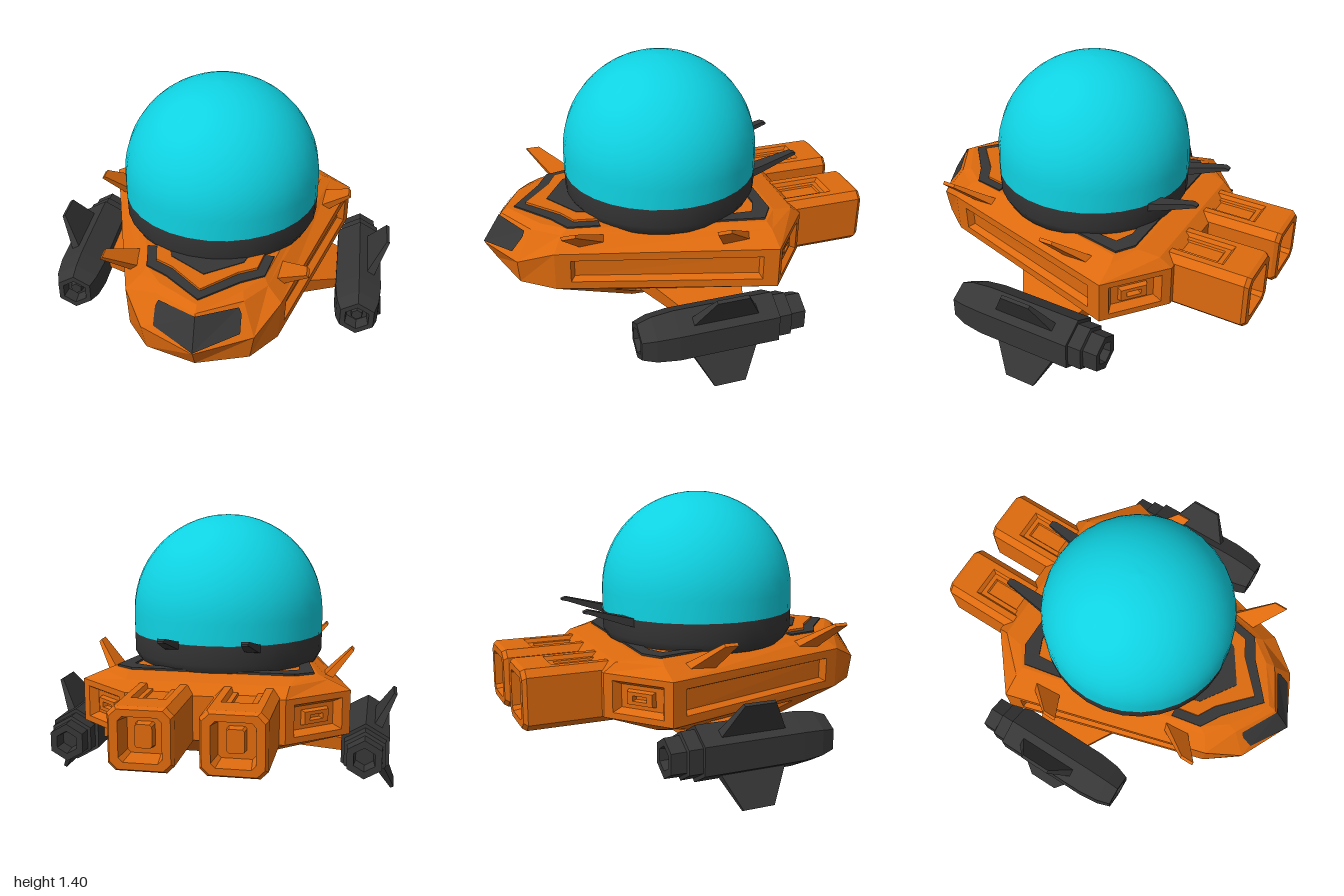
import * as THREE from 'three';

const mat = (color, flat = true) =>
  new THREE.MeshStandardMaterial({ color, flatShading: flat, side: THREE.DoubleSide });
const ORANGE = mat(0xdd6a0e), DARK = mat(0x363636), BASE = mat(0x363636, false), GLASS = mat(0x0fd2e2, false);

const V = (x, y, z) => new THREE.Vector3(x, y, z);
const bilinear = ([a, b, c, d], u, v) =>
  a.clone().lerp(b, u).lerp(d.clone().lerp(c, u), v);

// Flat-shaded geometry from a list of quads and triangles
function facets(faces) {
  const pos = [];
  for (const f of faces)
    for (let i = 1; i < f.length - 1; i++)
      for (const p of [f[0], f[i], f[i + 1]]) pos.push(p.x, p.y, p.z);
  const g = new THREE.BufferGeometry();
  g.setAttribute('position', new THREE.Float32BufferAttribute(pos, 3));
  g.computeVertexNormals();
  return g;
}

// Replace a quad by nested frames; each step is [margin u, margin v, depth]
function recess(quad, steps) {
  const n = quad[2].clone().sub(quad[0]).cross(quad[3].clone().sub(quad[1])).normalize();
  const out = [];
  let prev = quad;
  for (const [u, v, depth] of steps) {
    const next = [[u, v], [1 - u, v], [1 - u, 1 - v], [u, 1 - v]]
      .map(([s, t]) => bilinear(quad, s, t).addScaledVector(n, -depth));
    for (let i = 0; i < 4; i++) {
      const k = (i + 1) % 4;
      out.push([prev[i], prev[k], next[k], next[i]]);
    }
    prev = next;
  }
  out.push(prev);
  return out;
}

// Skin closed rings, with capped ends; recesses are keyed 'ring,edge'
function loft(rings, recesses = {}) {
  const faces = [[...rings[0]].reverse(), rings[rings.length - 1]];
  for (let i = 0; i < rings.length - 1; i++)
    rings[i].forEach((a, j) => {
      const k = (j + 1) % rings[i].length;
      const quad = [a, rings[i][k], rings[i + 1][k], rings[i + 1][j]];
      const steps = recesses[`${i},${j}`];
      faces.push(...(steps ? recess(quad, steps) : [quad]));
    });
  return facets(faces);
}

// Complete a half outline across x = 0
const mirrorRing = half =>
  [...half, ...half.filter(p => p[0] > 0).reverse().map(([x, ...r]) => [-x, ...r])];

// Tapered blade between two sections [x, y, z back, z front, thickness]
function blade(root, tip) {
  const d = new THREE.Vector2(tip[0] - root[0], tip[1] - root[1]).normalize();
  return loft([root, tip].map(([x, y, z0, z1, t]) =>
    [[1, z1], [-1, z1], [-1, z0], [1, z0]].map(([s, z]) =>
      V(x - d.y * s * t / 2, y + d.x * s * t / 2, z))));
}

// Thin symmetrical deck plate from a half outline in x, z
function plate(half, y, height) {
  const shape = new THREE.Shape(mirrorRing(half).map(([x, z]) => new THREE.Vector2(x, -z)));
  return new THREE.ExtrudeGeometry(shape, { depth: height, bevelEnabled: false })
    .rotateX(-Math.PI / 2).translate(0, y, 0);
}

const lathe = (pts, seg) =>
  new THREE.LatheGeometry(pts.map(([r, y]) => new THREE.Vector2(r, y)), seg);

export function createModel() {
  const model = new THREE.Group();
  const add = (name, geo, material, parent = model) => {
    const m = new THREE.Mesh(geo, material);
    m.name = name;
    parent.add(m);
    return m;
  };

  // Hull: plan outlines from keel to deck
  const hullRings = [
    [[0, .2, .45], [.18, .2, .42], [.3, .2, .28], [.3, .2, -.08], [.2, .2, -.28], [0, .2, -.28]],
    [[0, .37, .93], [.25, .37, .85], [.37, .37, .69], [.68, .37, -.38], [.39, .37, -.62], [0, .37, -.62]],
    [[0, .48, .99], [.27, .5, .86], [.38, .58, .69], [.68, .59, -.38], [.39, .59, -.62], [0, .59, -.62]],
    [[0, .64, .89], [.21, .64, .77], [.31, .64, .64], [.57, .64, -.38], [.4, .64, -.56], [0, .64, -.56]],
    [[0, .66, .85], [.2, .66, .72], [.29, .66, .6], [.52, .66, -.37], [.42, .66, -.45], [0, .66, -.45]],
  ].map(half => mirrorRing(half).map(p => V(...p)));
  const sidePanel = [[.07, .2, 0], [.085, .27, .035]];
  const vent = [[.13, .14, 0], [.2, .24, .04], [.3, .33, .04], [.32, .36, .015], [.4, .44, .015], [.42, .46, .04]];
  const bellyPanel = [[.2, .22, 0], [.23, .27, .025]];
  add('hull', loft(hullRings, {
    '1,2': sidePanel, '1,7': sidePanel, '1,3': vent, '1,6': vent, '0,2': bellyPanel, '0,7': bellyPanel,
  }), ORANGE);

  // Wraparound nose window, one pane on each side of the ridge
  const nose = [hullRings[2][0], hullRings[2][1], hullRings[3][1], hullRings[3][0]];
  const pane = [[0, .03], [.8, .2], [.9, .7], [.88, .88], [0, .93]]
    .map(([u, v]) => bilinear(nose, u, v).add(V(0, .003, .006)));
  add('noseWindow', facets([pane, pane.map(p => V(-p.x, p.y, p.z)).reverse()]), DARK);

  // Deck trim
  add('deckChevron', plate([[0, .82], [.18, .665], [.29, .6], [.32, .44], [.27, .44], [.25, .56], [.16, .61], [0, .76]], .65, .018), DARK);
  add('frontDeckPanel', plate([[0, .76], [.16, .61], [.25, .56], [.28, .4], [0, .4]], .65, .03), ORANGE);
  add('deckInlay', plate([[0, .65], [.18, .53], [.22, .4], [0, .4]], .65, .034), DARK);
  add('rearDeckTrim', plate([[0, -.43], [.41, -.43], [.5, -.37], [.45, -.12], [.4, -.12], [.42, -.33], [.33, -.37], [0, -.37]], .65, .02), DARK);

  // Dome and its collar
  add('domeCollar', lathe([[0, .6], [.38, .6], [.47, .64], [.503, .7], [.505, .8]], 32), BASE).position.z = .035;
  const domeProfile = [[.505, .8]];
  for (let i = 0; i <= 14; i++) {
    const a = i / 14 * Math.PI / 2;
    domeProfile.push([.505 * Math.cos(a), .905 + .505 * Math.sin(a)]);
  }
  add('dome', lathe(domeProfile, 32), GLASS).position.z = .035;

  // Rear booster: chamfered box with sunken top and exhaust
  const octagon = (w, h, c, z) => [[w, c - h], [w, h - c], [w - c, h], [c - w, h],
    [-w, h - c], [-w, c - h], [c - w, -h], [w - c, -h]].map(([x, y]) => V(x, y, z));
  const topPanel = [[.15, .2, 0], [.2, .225, .02], [.3, .26, .02], [.32, .27, .03]];
  const boosterGeo = loft([
    octagon(.153, .15, .035, .3), octagon(.153, .15, .035, .98), octagon(.14, .138, .035, 1),
    octagon(.1, .105, .02, 1), octagon(.085, .09, .015, .9), octagon(.045, .06, .01, .9),
    octagon(.04, .055, .01, .94),
  ], { '0,2': topPanel, '0,6': topPanel }).rotateY(Math.PI);

  // Hexagonal pod, profile running from exhaust to intake
  const podGeo = lathe([[0, -.39], [.05, -.39], [.06, -.46], [.098, -.46], [.1, -.385], [.118, -.38],
    [.118, -.31], [.138, -.31], [.138, .2], [.125, .31], [.1, .38], [.07, .38], [.06, .32],
    [.035, .32], [.03, .35], [0, .35]], 6).rotateX(Math.PI / 2);

  // Swept antenna rising behind the dome
  const rect = (w, y0, y1, z) => [V(w, y0, z), V(w, y1, z), V(-w, y1, z), V(-w, y0, z)];
  const antennaGeo = loft([rect(.04, .755, .8, .38), rect(.035, .775, .815, .45),
    rect(.02, .84, .862, .63), rect(.015, .845, .855, .655)]).rotateY(Math.PI);

  for (const s of [1, -1]) {
    const side = s > 0 ? 'left' : 'right';
    add(side + 'Booster', boosterGeo, ORANGE).position.set(s * .208, .48, 0);
    add(side + 'Antenna', antennaGeo, DARK).position.x = s * .2;

    // Mirrored group for everything attached to one flank
    const flank = new THREE.Group();
    flank.name = side + 'Flank';
    flank.scale.x = s;
    model.add(flank);
    add('frontFin', blade([.35, .6, .4, .55, .045], [.495, .738, .6, .67, .018]), ORANGE, flank);
    add('rearFin', blade([.54, .6, -.29, -.13, .045], [.675, .738, -.12, -.05, .018]), ORANGE, flank);
    add('pylon', blade([.34, .33, -.3, .28, .1], [.67, .25, -.2, .07, .06]), ORANGE, flank);
    add('pod', podGeo, DARK, flank).position.set(.757, .265, 0);
    add('podUpperFin', blade([.8, .33, -.23, .14, .05], [.9, .515, -.13, .03, .018]), DARK, flank);
    add('podLowerFin', blade([.8, .2, -.23, .14, .05], [.9, .012, -.13, .03, .018]), DARK, flank);
  }
  return model;
}
